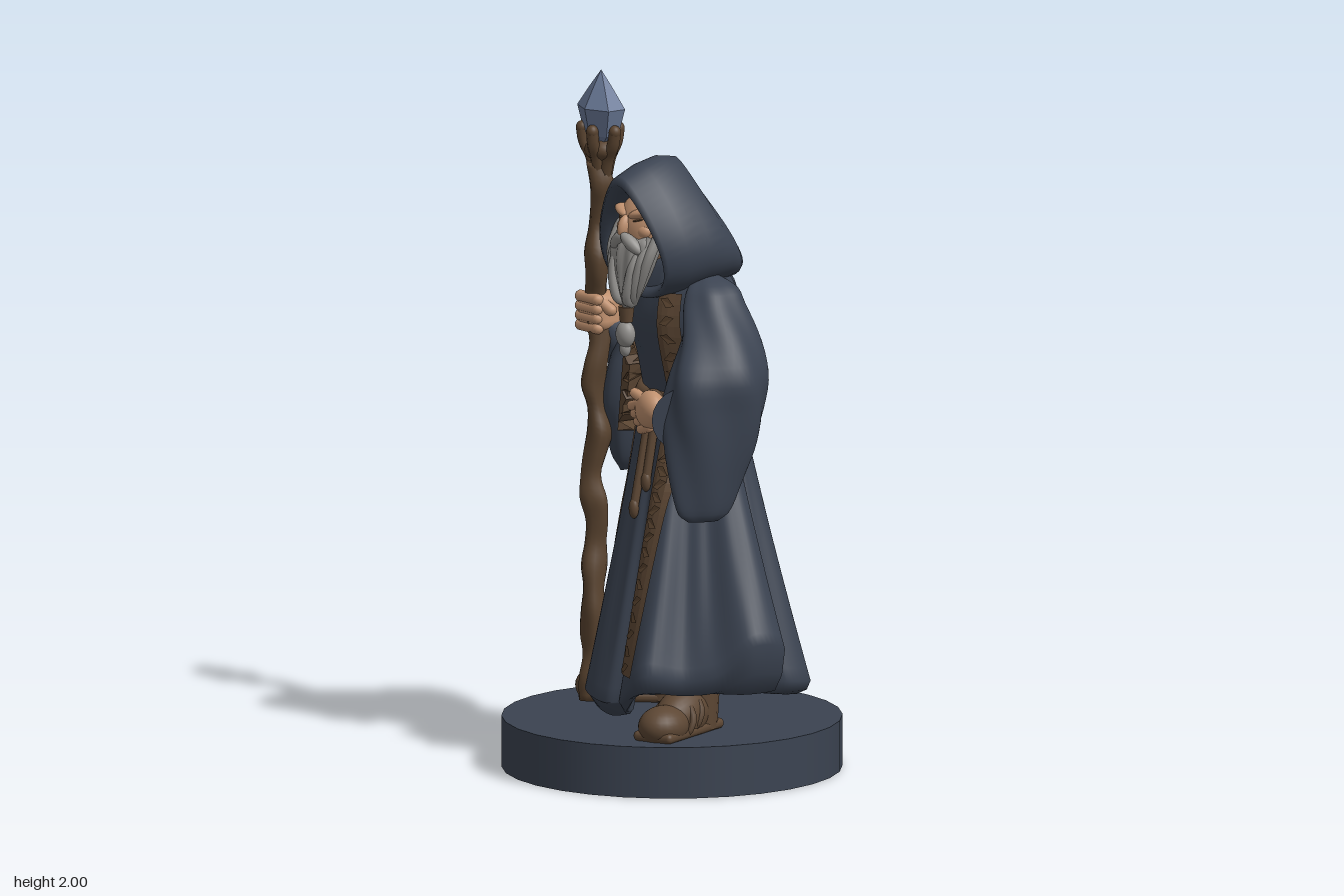
import * as THREE from 'three';
import { RoundedBoxGeometry } from 'three/addons/geometries/RoundedBoxGeometry.js';

const V = (x, y, z) => new THREE.Vector3(x, y, z);

// Skin a list of closed rings; each ring runs counter-clockwise about the loft direction
function loft(rings) {
  const n = rings[0].length, pos = [], idx = [];
  rings.forEach(r => r.forEach(p => pos.push(p.x, p.y, p.z)));
  for (let i = 0; i < rings.length - 1; i++) for (let j = 0; j < n; j++) {
    const a = i * n + j, b = i * n + (j + 1) % n;
    idx.push(a, b, a + n, b, b + n, a + n);
  }
  const g = new THREE.BufferGeometry();
  g.setAttribute('position', new THREE.Float32BufferAttribute(pos, 3));
  g.setIndex(idx);
  g.computeVertexNormals();
  return g;
}

// Upright organic column from levels [y, cx, cz, rx, rz], lowest first
function column(levels, { yaw = 0, amp = 0, folds = 6, twist = 0, seg = 48, steps = 32 } = {}) {
  const mid = new THREE.CatmullRomCurve3(levels.map(l => V(l[1], l[0], l[2])), false, 'catmullrom');
  const rad = new THREE.CatmullRomCurve3(levels.map(l => V(l[3], 0, l[4])), false, 'catmullrom');
  const ring = (t, k) => {
    const c = mid.getPoint(t), r = rad.getPoint(t);
    return Array.from({ length: seg }, (_, j) => {
      const a = j / seg * Math.PI * 2;
      const s = k * (1 + amp * Math.sin(folds * a + twist * c.y));
      return V(Math.sin(a) * r.x * s, 0, Math.cos(a) * r.z * s).applyAxisAngle(V(0, 1, 0), yaw).add(c);
    });
  };
  const rings = [ring(0, 0.001)];
  for (let i = 0; i <= steps; i++) rings.push(ring(i / steps, 1));
  rings.push(ring(1, 0.001));
  return loft(rings);
}

const tube = (pts, r, seg = 24) =>
  new THREE.TubeGeometry(new THREE.CatmullRomCurve3(pts.map(p => V(...p))), seg, r, 8);

// Pleated skirt: hem outline [x, y, z] blended up to an oval waist
function skirtGeometry() {
  const hem = [
    [0.02, 0.22, 0.26], [0.075, 0.23, 0.235], [0.14, 0.25, 0.3], [0.27, 0.34, 0.31], [0.32, 0.32, 0.2],
    [0.39, 0.34, 0.13], [0.465, 0.43, 0.05], [0.46, 0.41, -0.06], [0.33, 0.3, -0.08], [0.375, 0.29, -0.14],
    [0.36, 0.28, -0.23], [0.22, 0.27, -0.25], [0.15, 0.27, -0.19], [0.09, 0.25, -0.25], [-0.05, 0.25, -0.27],
    [-0.12, 0.26, -0.21], [-0.2, 0.3, -0.38], [-0.3, 0.33, -0.41], [-0.34, 0.35, -0.36], [-0.33, 0.34, -0.28],
    [-0.42, 0.41, -0.3], [-0.45, 0.42, -0.23], [-0.38, 0.37, -0.16], [-0.28, 0.32, -0.08], [-0.25, 0.3, 0.08],
    [-0.19, 0.28, 0.12], [-0.1, 0.24, 0.24]].map(p => V(...p));
  const outline = new THREE.CatmullRomCurve3(hem, true), n = 200, steps = 22;
  const base = Array.from({ length: n }, (_, j) => outline.getPoint(j / n));
  const waist = base.map(p => {
    const a = Math.atan2(p.x - 0.01, p.z + 0.05);
    return V(0.01 + 0.15 * Math.sin(a), 1.13, -0.06 + 0.13 * Math.cos(a));
  });
  const inset = (k, height) => base.map(p => V(p.x * k, height(p.y), -0.05 + (p.z + 0.05) * k));
  // underside first, then the heavy rolled edge
  const rings = [inset(0.001, () => 0.32), inset(0.75, () => 0.3), inset(0.84, y => Math.min(y - 0.03, 0.275)),
    inset(0.9, y => Math.min(y - 0.042, 0.28)), inset(0.97, y => y * 0.6 + 0.1 - 0.015), inset(1, y => y)];
  for (let i = 1; i <= steps; i++) {
    const t = i / steps, w = Math.pow(1 - t, 1.04);
    rings.push(base.map((p, j) => {
      // fine secondary pleats, strongest midway up
      const k = w * (1 + 0.022 * Math.sin(Math.PI * t) * Math.sin(j / n * Math.PI * 52));
      return V(THREE.MathUtils.lerp(waist[j].x, p.x, k), THREE.MathUtils.lerp(p.y, 1.13, t),
        THREE.MathUtils.lerp(waist[j].z, p.z, k));
    }));
  }
  return loft(rings);
}

// Deep pointed hood: teardrop rings [width, top, bottom, zTop, zBottom, flare], cavity first
function hoodGeometry() {
  return loft([
    [0.001, 1.58, 1.58, 0.03, 0.03, 0.4], [0.1, 1.68, 1.46, 0.05, 0.04, 0.4], [0.122, 1.71, 1.42, 0.17, 0.1, 0.4],
    [0.135, 1.735, 1.405, 0.2, 0.115, 0.4], [0.15, 1.76, 1.395, 0.19, 0.11, 0.4], [0.172, 1.79, 1.395, 0.12, 0.05, 0.4],
    [0.182, 1.806, 1.41, 0.05, -0.02, 0.44], [0.17, 1.797, 1.42, -0.01, -0.1, 0.6], [0.142, 1.755, 1.43, -0.045, -0.15, 0.75],
    [0.108, 1.69, 1.44, -0.085, -0.182, 0.75], [0.06, 1.6, 1.46, -0.13, -0.19, 0.7], [0.001, 1.515, 1.515, -0.175, -0.175, 0.4],
  ].map(([w, top, bot, zt, zb, flare]) => Array.from({ length: 48 }, (_, j) => {
    const a = j / 48 * Math.PI * 2, u = Math.cos(a);
    return V(w * Math.sin(a) * (1 - flare * u), (top + bot) / 2 + u * (top - bot) / 2, (zt + zb) / 2 + u * (zt - zb) / 2);
  })));
}

export function createModel() {
  const model = new THREE.Group();
  const mat = (name, color, extra = {}) => Object.assign(new THREE.MeshStandardMaterial({ color, ...extra }), { name });
  const robe = mat('slate robe', 0x3b4351), wood = mat('staff wood', 0x59432f);
  const leather = mat('leather brown', 0x5d4734, { side: THREE.DoubleSide });
  const skin = mat('skin', 0xc0916f), hair = mat('grey hair', 0x92908d);
  const crystalBlue = mat('crystal blue', 0x6b7a98, { flatShading: true });
  const add = (name, geo, material, pos = [0, 0, 0], rot = [0, 0, 0], scale = [1, 1, 1], parent = model) => {
    const m = new THREE.Mesh(geo, material);
    m.name = name;
    m.position.set(...pos); m.rotation.set(...rot); m.scale.set(...scale);
    parent.add(m);
    return m;
  };
  const ball = new THREE.SphereGeometry(1, 24, 16);

  // Base and robe
  add('base', new THREE.CylinderGeometry(0.494, 0.494, 0.15, 30), robe, [0, 0.075, 0]);
  const skirt = add('skirt', skirtGeometry(), robe);
  const torso = add('torso', column([
    [1.1, 0.01, -0.06, 0.15, 0.13], [1.2, 0.01, -0.055, 0.17, 0.142], [1.32, 0, -0.05, 0.195, 0.155],
    [1.42, 0, -0.05, 0.185, 0.14], [1.48, 0, -0.04, 0.14, 0.11], [1.51, 0, -0.03, 0.1, 0.08]],
  { yaw: -0.3, amp: 0.018, folds: 11 }), robe);
  add('hood', hoodGeometry(), robe);
  add('leftSleeve', column([
    [0.78, 0.295, 0.115, 0.012, 0.045], [0.81, 0.29, 0.11, 0.033, 0.08], [0.9, 0.285, 0.095, 0.055, 0.108],
    [1.0, 0.285, 0.075, 0.072, 0.135], [1.1, 0.28, 0.06, 0.088, 0.152], [1.2, 0.28, 0.045, 0.092, 0.145],
    [1.3, 0.24, 0.01, 0.085, 0.115], [1.39, 0.195, -0.005, 0.067, 0.09], [1.44, 0.175, -0.015, 0.05, 0.07],
    [1.475, 0.14, -0.02, 0.012, 0.02]], { yaw: -0.38, amp: 0.05, folds: 5, twist: 14 }), robe);
  add('rightSleeve', column([
    [0.82, -0.32, -0.1, 0.02, 0.06], [0.86, -0.315, -0.1, 0.045, 0.09], [0.93, -0.31, -0.105, 0.06, 0.12],
    [1.02, -0.31, -0.115, 0.077, 0.145], [1.12, -0.3, -0.13, 0.09, 0.15], [1.2, -0.285, -0.14, 0.095, 0.135],
    [1.3, -0.235, -0.14, 0.085, 0.105], [1.39, -0.19, -0.115, 0.07, 0.09], [1.44, -0.17, -0.1, 0.05, 0.065],
    [1.475, -0.14, -0.09, 0.012, 0.02]], { yaw: 0.35, amp: 0.05, folds: 5, twist: -14 }), robe);
  add('rightCuff', new THREE.CylinderGeometry(0.05, 0.085, 0.16, 20), robe, [-0.325, 1.2, -0.06], [0.75, 0, 0.1]);
  add('leftCuff', new THREE.CylinderGeometry(0.052, 0.095, 0.11, 20), robe, [0.215, 1.085, 0.13], [0, -0.5, 1.5]);

  // Embroidered trims laid onto the robe front
  model.updateMatrixWorld(true);
  const ray = new THREE.Raycaster();
  const onRobe = (x, y, lift) => {
    ray.set(V(x, y, 2), V(0, 0, -1));
    const hit = ray.intersectObjects([skirt, torso], false)[0];
    return V(x, y, (hit ? hit.point.z : 0.03) + lift);
  };
  const patch = (quads, lift) => {
    const pos = [];
    quads.forEach(q => {
      const [a, b, c, d] = q.map(([x, y]) => onRobe(x, y, lift));
      [a, b, c, a, c, d].forEach(p => pos.push(p.x, p.y, p.z));
    });
    const g = new THREE.BufferGeometry();
    g.setAttribute('position', new THREE.Float32BufferAttribute(pos, 3));
    g.computeVertexNormals();
    return g;
  };
  const trims = { right: [[0.33, -0.232], [0.7, -0.2], [1.0, -0.168], [1.42, -0.125]],
    left: [[0.33, 0.178], [0.7, 0.145], [1.0, 0.122], [1.42, 0.105]] };
  for (const [side, pts] of Object.entries(trims)) {
    const path = new THREE.CatmullRomCurve3(pts.map(([y, x]) => V(x, y, 0)));
    const half = t => THREE.MathUtils.lerp(0.044, 0.032, t), bands = [], marks = [];
    for (let i = 0; i < 40; i++) {
      const a = path.getPoint(i / 40), b = path.getPoint((i + 1) / 40), wa = half(i / 40), wb = half((i + 1) / 40);
      for (let k = -1; k < 1; k += 0.5) bands.push([[a.x + k * wa, a.y], [a.x + (k + 0.5) * wa, a.y],
        [b.x + (k + 0.5) * wb, b.y], [b.x + k * wb, b.y]]);
    }
    for (let i = 0; i < 24; i++) {
      const c = path.getPoint((i + 0.5) / 24), w = half(i / 24) * 0.62, s = i % 2 ? 0.01 : -0.01;
      marks.push([[c.x - w, c.y + s], [c.x, c.y - 0.015], [c.x + w, c.y - s], [c.x, c.y + 0.015]]);
    }
    add(side + 'Trim', patch(bands, 0.009), leather);
    add(side + 'TrimPattern', patch(marks, 0.015), wood);
  }

  // Belt with hanging ends
  const beltPts = Array.from({ length: 20 }, (_, i) => {
    const a = i / 20 * Math.PI * 2;
    return V(0.01 + 0.15 * Math.sin(a), 1.12 - 0.02 * Math.cos(a), -0.062 + 0.134 * Math.cos(a));
  });
  add('belt', new THREE.TubeGeometry(new THREE.CatmullRomCurve3(beltPts, true), 60, 0.021, 8, true), leather);
  [[0.02, 0.78], [0.045, 0.86]].forEach(([x, low], i) => {
    const pts = [1.1, 1.0, 0.9, low].map(y => onRobe(x, y, 0.014).toArray());
    add('beltEnd' + (i + 1), tube(pts, 0.013), leather);
    add('beltEndTip' + (i + 1), ball, leather, pts[3], [0, 0, 0], [0.016, 0.03, 0.014]);
  });
  add('beltKnot', ball, leather, onRobe(0.035, 1.1, 0.02).toArray(), [0, 0, 0], [0.035, 0.028, 0.025]);

  // Head, nose, eyes and brows
  add('face', ball, skin, [0, 1.605, 0.085], [0, 0, 0], [0.092, 0.105, 0.085]);
  add('nose', ball, skin, [-0.005, 1.61, 0.168], [-0.3, 0, 0], [0.017, 0.036, 0.023]);
  for (const s of [-1, 1]) {
    add('cheek', ball, skin, [s * 0.042, 1.6, 0.135], [0, 0, 0], [0.032, 0.025, 0.024]);
    add('brow', ball, skin, [s * 0.04, 1.652, 0.147], [0, s * 0.35, s * 0.3], [0.04, 0.014, 0.022]);
    add('eye', ball, wood, [s * 0.037, 1.632, 0.153], [0, s * 0.4, s * 0.25], [0.02, 0.004, 0.008]);
    add('moustache', ball, hair, [s * 0.032, 1.565, 0.172], [0, s * 0.3, -s * 0.65], [0.045, 0.019, 0.02]);
    // Side locks of the beard
    for (let i = 0; i < 3; i++) add('beardLock', tube([[s * (0.095 - i * 0.025), 1.61 - i * 0.03, 0.11 + i * 0.018],
      [s * (0.088 - i * 0.022), 1.53 - i * 0.02, 0.15 + i * 0.014], [s * (0.05 - i * 0.014), 1.44 - i * 0.02, 0.16 + i * 0.01],
      [s * 0.012, 1.385, 0.155]], 0.016), hair);
  }
  add('beard', column([[1.365, 0, 0.158, 0.012, 0.014], [1.42, -0.003, 0.15, 0.042, 0.036], [1.5, -0.004, 0.14, 0.08, 0.05],
    [1.56, -0.003, 0.125, 0.092, 0.055], [1.585, -0.003, 0.115, 0.08, 0.045]], { amp: 0.07, folds: 12, twist: 14 }), hair);
  add('beardBand', new THREE.CylinderGeometry(0.024, 0.019, 0.045, 14), leather, [-0.008, 1.35, 0.16]);
  add('beardBraid', ball, hair, [-0.012, 1.29, 0.16], [0, 0, 0], [0.032, 0.04, 0.027]);
  add('beardTip', ball, hair, [-0.014, 1.247, 0.16], [0, 0, 0], [0.018, 0.024, 0.016]);

  // Staff: gnarled shaft, claw prongs and crystal
  const shaft = Array.from({ length: 25 }, (_, i) => {
    const t = i / 24, y = 0.16 + t * 1.57, bend = 0.004 + 0.009 * t;
    return [y, -0.283 - 0.062 * t + bend * Math.sin(i * 1.7), 0.075 * (1 - t) + bend * Math.cos(i * 1.3)]
      .concat(Array(2).fill(0.034 + 0.005 * Math.sin(i * 2.3)));
  });
  add('staffShaft', column(shaft, { amp: 0.1, folds: 3, twist: 12, seg: 12, steps: 96 }), wood);
  for (let i = 0; i < 5; i++) {
    const a = i / 5 * Math.PI * 2 + 0.3, at = (r, y) => [-0.338 + r * Math.sin(a), y, r * 0.75 * Math.cos(a)];
    add('staffProng', tube([at(0.015, 1.67), at(0.035, 1.745), at(0.058, 1.785), at(0.066, 1.825)], 0.018, 12), wood);
    add('staffProngTip', ball, wood, at(0.066, 1.825), [0, 0, 0], [0.018, 0.02, 0.018]);
  }
  add('staffSocket', ball, wood, [-0.338, 1.765, 0], [0, 0, 0], [0.055, 0.035, 0.045]);
  const gem = [[0, 1.77], [0.055, 1.81], [0.077, 1.89], [0.038, 1.948], [0, 2.0]].map(p => new THREE.Vector2(...p));
  add('crystal', new THREE.LatheGeometry(gem, 6), crystalBlue, [-0.338, 0, 0], [0, 0, 0], [1.12, 1, 0.78]);

  // Right hand gripping the staff
  add('rightFist', new RoundedBoxGeometry(0.125, 0.118, 0.115, 4, 0.035), skin, [-0.345, 1.288, -0.006], [0, 0, 0.05]);
  for (let i = 0; i < 4; i++) add('rightFinger', new THREE.CapsuleGeometry(0.018, 0.08, 4, 10), skin,
    [-0.345, 1.246 + i * 0.028, 0.038], [0, 0, Math.PI / 2]);
  add('rightThumb', new THREE.CapsuleGeometry(0.018, 0.05, 4, 10), skin, [-0.295, 1.315, 0.02], [0.5, 0, 0.9]);

  // Left hand resting at the belt
  add('leftPalm', ball, skin, [0.12, 1.09, 0.17], [0, -0.3, 0.3], [0.07, 0.056, 0.042]);
  for (let i = 0; i < 4; i++) add('leftFinger', new THREE.CapsuleGeometry(0.0155, 0.058, 4, 10), skin,
    [0.065 + i * 0.01, 1.097 - i * 0.022, 0.18 - i * 0.004], [0, -0.2, 1.85]);
  add('leftThumb', new THREE.CapsuleGeometry(0.016, 0.05, 4, 10), skin, [0.09, 1.125, 0.185], [0, 0, 1.3]);

  // Boots
  const boot = (name, x, z, yaw) => {
    const g = new THREE.Group();
    g.name = name;
    g.position.set(x, 0.15, z);
    g.rotation.y = yaw;
    model.add(g);
    add('bootSole', new RoundedBoxGeometry(0.13, 0.03, 0.31, 3, 0.014), leather, [0, 0.014, 0.15], [0, 0, 0], [1, 1, 1], g);
    add('bootToe', ball, leather, [0, 0.038, 0.235], [0, 0, 0], [0.07, 0.06, 0.085], g);
    add('bootInstep', ball, leather, [0, 0.055, 0.13], [0.35, 0, 0], [0.068, 0.08, 0.13], g);
    add('bootAnkle', new THREE.CylinderGeometry(0.075, 0.066, 0.16, 18), leather, [0, 0.085, 0.06], [0, 0, 0], [1, 1, 1], g);
    for (let i = 0; i < 2; i++) add('bootCrease', new THREE.TorusGeometry(0.062, 0.01, 6, 18), leather,
      [0, 0.045 + i * 0.014, 0.18 - i * 0.045], [-0.35, 0, 0], [1.08, 1, 1], g);
  };
  boot('leftBoot', 0.185, 0.02, 0.38);
  boot('rightBoot', -0.16, -0.17, -0.75);

  return model;
}
